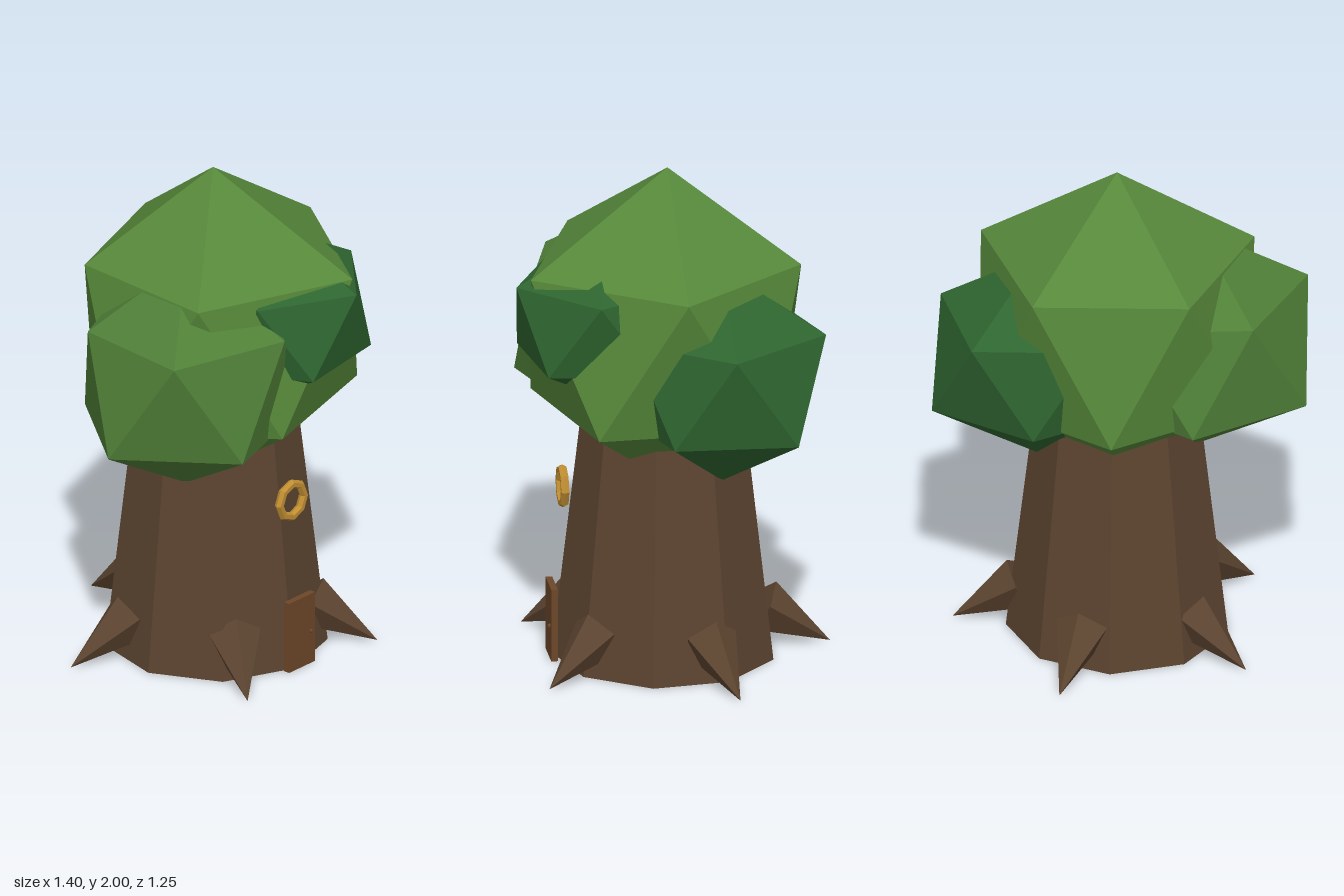
import * as THREE from 'three';
import { ConvexGeometry } from 'three/addons/geometries/ConvexGeometry.js';

const DEG = Math.PI / 180;

function material(name, color) {
  const m = new THREE.MeshStandardMaterial({ color, flatShading: true });
  m.name = name;
  return m;
}

export function createModel() {
  const model = new THREE.Group();
  model.name = 'treeHouse';

  const bark = material('bark', 0x5c4430);
  const door = material('door wood', 0x6d472a);
  const brass = material('brass', 0xc08e32);
  const leaf = material('leaf green', 0x56883a);
  const leafMid = material('leaf mid green', 0x508038);
  const leafDark = material('leaf dark green', 0x2e6530);

  function add(name, geometry, mat, x, y, z, parent = model) {
    const mesh = new THREE.Mesh(geometry, mat);
    mesh.name = name;
    mesh.position.set(x, y, z);
    parent.add(mesh);
    return mesh;
  }

  // Foliage: a slightly uneven icosahedron made of two staggered rings of five and two poles.
  // levels: heights of top pole, upper ring, lower ring, bottom pole
  function foliage(name, mat, x, z, levels, upper, lower, turn = 0) {
    const [top, high, low, bottom] = levels;
    const points = [new THREE.Vector3(0, top, 0), new THREE.Vector3(0, bottom, 0)];
    for (let k = 0; k < 5; k++) {
      const a = (72 * k + turn) * DEG;
      const b = a + 36 * DEG;
      points.push(new THREE.Vector3(Math.cos(a) * upper[k], high, Math.sin(a) * upper[k]));
      points.push(new THREE.Vector3(Math.cos(b) * lower[k], low, Math.sin(b) * lower[k]));
    }
    add(name, new ConvexGeometry(points), mat, x, 0, z);
  }

  foliage('mainFoliage', leaf, 0.035, 0.01, [2, 1.63, 1.05, 0.7],
    [0.565, 0.593, 0.554, 0.51, 0.527], [0.572, 0.54, 0.55, 0.515, 0.55]);
  foliage('rightFoliage', leafMid, -0.255, 0.13, [1.74, 1.47, 1.04, 0.785],
    [0.44, 0.42, 0.445, 0.39, 0.44], [0.44, 0.44, 0.45, 0.43, 0.44]);
  foliage('leftFoliage', leafDark, 0.3, -0.165, [1.67, 1.42, 1.04, 0.79],
    [0.4, 0.4, 0.4, 0.4, 0.41], [0.395, 0.4, 0.4, 0.36, 0.425]);
  foliage('frontFoliage', leafDark, 0.13, 0.28, [1.78, 1.59, 1.28, 1.1],
    [0.35, 0.35, 0.35, 0.35, 0.35], [0.35, 0.35, 0.35, 0.35, 0.35], 9);

  // Trunk: tapered, nine sides
  const trunk = add('trunk', new THREE.CylinderGeometry(0.3, 0.44, 1.2, 9), bark, 0.033, 0.6, 0.022);
  trunk.rotation.y = -4 * DEG;

  // Roots: five-sided spikes sloping down to the ground
  for (let k = 0; k < 5; k++) {
    const pivot = new THREE.Group();
    pivot.name = 'root' + (k + 1);
    pivot.position.set(0.035, 0, 0.012);
    pivot.rotation.y = (180 + 72 * k) * DEG;
    model.add(pivot);
    const spike = new THREE.ConeGeometry(0.11, 0.312, 5).rotateY(Math.PI);
    add('rootSpike', spike, bark, 0, 0.082, 0.5065, pivot).rotation.x = 121 * DEG;
  }

  // Door with a small knob
  add('door', new THREE.BoxGeometry(0.15, 0.296, 0.026), door, 0.033, 0.149, 0.464);
  add('doorKnob', new THREE.SphereGeometry(0.009, 6, 4), door, 0.082, 0.14, 0.48);

  // Round window frame
  add('windowFrame', new THREE.TorusGeometry(0.07, 0.018, 6, 8), brass, 0.033, 0.7, 0.422);

  return model;
}
